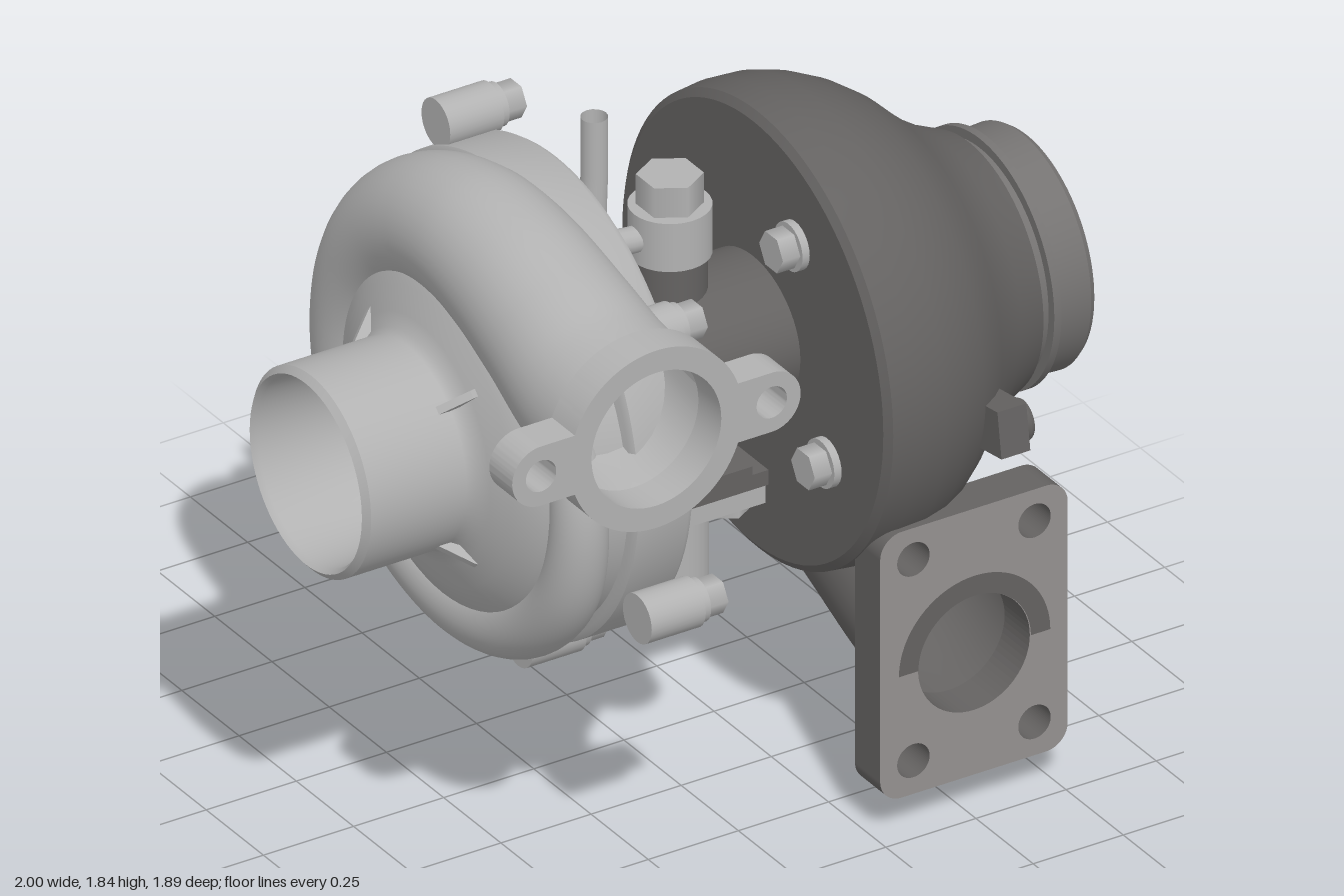
import * as THREE from 'three';
import { toCreasedNormals } from 'three/addons/utils/BufferGeometryUtils.js';

const AY = 1.13, AZ = 0.185; // shaft axis, running along x
const V2 = (a) => a.map(([x, r]) => new THREE.Vector2(r, x));

export function createModel() {
  const root = new THREE.Group();
  const mat = (name, color) => {
    const m = new THREE.MeshStandardMaterial({ color, side: THREE.DoubleSide });
    m.name = name;
    return m;
  };
  const alu = mat('light aluminium', 0xb2b2b2);
  const iron = mat('dark cast iron', 0x646261);
  const face = mat('machined iron', 0x959190);
  const lip = mat('turned iron', 0x757372);
  const steel = mat('wheel steel', 0x9c9c9c);

  const add = (name, geo, m, x = 0, y = 0, z = 0, parent = root) => {
    const mesh = new THREE.Mesh(geo, m);
    mesh.name = name;
    mesh.position.set(x, y, z);
    parent.add(mesh);
    return mesh;
  };
  // profile of [x, radius] turned around the x axis
  const turned = (profile, seg = 72) =>
    toCreasedNormals(new THREE.LatheGeometry(V2(profile), seg).rotateZ(-Math.PI / 2), 0.6);
  const cyl = (r, h, seg = 28) => new THREE.CylinderGeometry(r, r, h, seg);
  const cylX = (r, h, seg = 28) => cyl(r, h, seg).rotateZ(-Math.PI / 2);
  const hole = (x, y, r) => new THREE.Path().absarc(x, y, r, 0, Math.PI * 2, true);
  const extrude = (shape, depth) =>
    new THREE.ExtrudeGeometry(shape, { depth, bevelEnabled: false, curveSegments: 32 });

  // round sections of changing radius along a path; keys are [x, y, z, radius]
  const duct = (keys, n = 110, m = 36) => {
    const curve = new THREE.CatmullRomCurve3(keys.map((k) => new THREE.Vector3(k[0], k[1], k[2])));
    const pos = [], idx = [], side = new THREE.Vector3(1, 0, 0);
    for (let i = 0; i <= n; i++) {
      const t = i / n, p = curve.getPoint(t);
      const up = side.clone().cross(curve.getTangent(t)).normalize();
      const f = t * (keys.length - 1), k = Math.min(Math.floor(f), keys.length - 2);
      const r = THREE.MathUtils.lerp(keys[k][3], keys[k + 1][3], f - k);
      for (let j = 0; j <= m; j++) {
        const a = (j / m) * Math.PI * 2;
        const q = p.clone().addScaledVector(side, r * Math.cos(a)).addScaledVector(up, r * Math.sin(a));
        pos.push(q.x, q.y, q.z);
        if (i < n && j < m) {
          const o = i * (m + 1) + j, b = o + m + 1;
          idx.push(o, o + 1, b, o + 1, b + 1, b);
        }
      }
    }
    const g = new THREE.BufferGeometry();
    g.setAttribute('position', new THREE.Float32BufferAttribute(pos, 3));
    g.setIndex(idx);
    g.computeVertexNormals();
    return g;
  };

  // bladed wheel with a domed hub and a back disc
  const wheel = (name, x, dir, count, r) => {
    const g = new THREE.Group();
    g.name = name;
    g.position.set(x, AY, AZ);
    root.add(g);
    add('hub', new THREE.SphereGeometry(0.06, 24, 16), steel, dir * 0.05, 0, 0, g);
    add('hubShaft', cylX(0.06, 0.14), steel, -dir * 0.02, 0, 0, g);
    add('backDisc', cylX(r, 0.008, 40), steel, -dir * 0.05, 0, 0, g);
    for (let i = 0; i < count; i++) {
      const spoke = new THREE.Group();
      spoke.rotation.x = (i / count) * Math.PI * 2;
      g.add(spoke);
      add('blade', new THREE.BoxGeometry(0.1, r - 0.04, 0.008), steel, 0, (r + 0.04) / 2, 0, spoke).rotation.y = 0.35;
    }
  };

  // ---- compressor housing ----
  add('compressorInlet', turned([[-0.6, 0], [-0.62, 0.2], [-0.8, 0.225], [-0.985, 0.235], [-1, 0.245], [-0.985, 0.262],
    [-0.72, 0.262], [-0.7, 0.275], [-0.685, 0.31], [-0.66, 0.37], [-0.62, 0.44], [-0.54, 0.5], [-0.42, 0.53]]), alu, 0, AY, AZ);
  wheel('compressorWheel', -0.7, -1, 12, 0.2);
  const scroll = [];
  for (let a = 300; a >= 0; a -= 20) {
    const t = a * Math.PI / 180, k = a / 300, R = 0.488 - 0.04 * Math.max(0, k - 0.8) / 0.2;
    scroll.push([-0.515 - 0.03 * k, AY + R * Math.cos(t), AZ - R * Math.sin(t), 0.175 - 0.115 * k ** 0.8]);
  }
  scroll.push([-0.515, 1.595, 0.36, 0.185], [-0.515, 1.54, 0.53, 0.195], [-0.515, 1.475, 0.7, 0.208], [-0.515, 1.445, 0.86, 0.215]);
  add('compressorScroll', duct(scroll, 160), alu);
  add('compressorBackplate', turned([[-0.44, 0.3], [-0.44, 0.59], [-0.43, 0.605], [-0.29, 0.605], [-0.275, 0.595],
    [-0.275, 0.46], [-0.25, 0.45], [-0.25, 0.1]], 96), alu, 0, 1.145, 0.137);
  for (const a of [45, 135, 225, 315]) {
    const rib = new THREE.Shape([[-0.76, 0.255], [-0.64, 0.255], [-0.64, 0.36], [-0.685, 0.325]].map((p) => new THREE.Vector2(...p)));
    add('inletRib', extrude(rib, 0.02).translate(0, 0, -0.01), alu, 0, AY, AZ).rotation.x = a * Math.PI / 180;
  }

  // outlet flange with two ears
  const ear = new THREE.Shape();
  const q = Math.asin(0.08 / 0.24);
  ear.absarc(0.32, 0, 0.08, -Math.PI / 2, Math.PI / 2);
  ear.absarc(0, 0, 0.24, q, Math.PI - q);
  ear.absarc(-0.32, 0, 0.08, Math.PI / 2, Math.PI * 1.5);
  ear.absarc(0, 0, 0.24, Math.PI + q, Math.PI * 2 - q);
  ear.holes.push(hole(0, 0, 0.18), hole(0.32, 0, 0.042), hole(-0.32, 0, 0.042));
  add('compressorOutletFlange', toCreasedNormals(extrude(ear, 0.1), 0.6), alu, -0.51, 1.445, 0.845);

  // housing lugs and their bolts: [y, z]
  for (const [y, z] of [[1.73, -0.16], [0.8, -0.39], [0.82, 0.72], [1.52, 0.63], [0.5, 0.2]]) {
    add('housingLug', cylX(0.063, 0.15), alu, -0.345, y, z);
    add('lugWasher', cylX(0.055, 0.02), alu, -0.26, y, z);
    add('lugBolt', cylX(0.048, 0.055, 6), alu, -0.225, y, z);
  }

  // ---- centre housing ----
  add('centreHousing', cylX(0.2, 0.5, 48).scale(1, 0.9, 1.04), iron, 0.02, 1.155, 0.185);
  add('centreRing', turned([[-0.25, 0.1], [-0.25, 0.285], [-0.19, 0.285], [-0.18, 0.27], [-0.18, 0.1]]), iron, 0, AY, AZ);
  add('oilBoss', cyl(0.09, 0.14), iron, 0.01, 1.35, AZ);
  add('oilFitting', cyl(0.1, 0.13), alu, 0.01, 1.485, AZ);
  add('oilFittingBolt', cyl(0.08, 0.08, 6), alu, 0.01, 1.59, AZ);
  add('plug', cyl(0.03, 0.05, 12), iron, 0.01, 0.96, AZ);
  const pipe = new THREE.CatmullRomCurve3([[-0.05, 1.48], [-0.12, 1.485], [-0.18, 1.5], [-0.2, 1.56], [-0.2, 1.7], [-0.2, 1.85]]
    .map(([x, y]) => new THREE.Vector3(x, y, AZ)));
  add('oilPipe', new THREE.TubeGeometry(pipe, 40, 0.033, 16), alu);

  // oil drain below
  add('drainGasket', new THREE.BoxGeometry(0.3, 0.03, 0.22), iron, 0.02, 0.825, AZ);
  add('drainFlange', new THREE.BoxGeometry(0.42, 0.04, 0.2), iron, 0.01, 0.79, AZ);
  add('drainPlate', new THREE.BoxGeometry(0.41, 0.05, 0.19), alu, 0.01, 0.745, AZ);
  add('drainTube', new THREE.CylinderGeometry(0.088, 0.088, 0.24, 28, 1, true), alu, 0.015, 0.605, AZ);
  for (const x of [-0.15, 0.17]) add('drainBolt', cyl(0.05, 0.06, 6), alu, x, 0.7, AZ);

  // ---- turbine housing ----
  add('turbineHousing', turned([[0.24, 0], [0.24, 0.57], [0.255, 0.59], [0.32, 0.597], [0.4, 0.592], [0.47, 0.572], [0.54, 0.538],
    [0.6, 0.495], [0.65, 0.445], [0.7, 0.4], [0.76, 0.36], [0.84, 0.325], [0.84, 0.29]], 96), iron, 0, AY, AZ);
  add('turbineOutlet', turned([[0.83, 0.3], [0.87, 0.3], [0.87, 0.325], [0.89, 0.325], [0.89, 0.3], [0.985, 0.305],
    [1, 0.295], [0.985, 0.265], [0.96, 0.257]], 96), lip, 0, AY, AZ);
  add('turbineBore', turned([[0.96, 0.257], [0.86, 0.25], [0.76, 0.195], [0.68, 0.185], [0.64, 0]], 96), iron, 0, AY, AZ);
  wheel('turbineWheel', 0.71, 1, 11, 0.18);
  add('turbineDuct', duct([[0.515, 0.435, 0.65, 0.195], [0.51, 0.475, 0.53, 0.2], [0.5, 0.57, 0.37, 0.205], [0.49, 0.68, 0.2, 0.215],
    [0.48, 0.745, 0.03, 0.225], [0.47, 0.84, -0.09, 0.21], [0.45, 0.97, -0.17, 0.18], [0.43, 1.13, -0.21, 0.15],
    [0.42, 1.35, -0.15, 0.11], [0.41, 1.5, 0.02, 0.08]]), iron);

  // square inlet flange with four bolt holes
  const [fw, fh, fr] = [0.26, 0.36, 0.06];
  const plate = new THREE.Shape();
  plate.absarc(fw - fr, fh - fr, fr, 0, Math.PI / 2);
  plate.absarc(-fw + fr, fh - fr, fr, Math.PI / 2, Math.PI);
  plate.absarc(-fw + fr, -fh + fr, fr, Math.PI, Math.PI * 1.5);
  plate.absarc(fw - fr, -fh + fr, fr, Math.PI * 1.5, Math.PI * 2);
  plate.holes.push(hole(0, -0.03, 0.155));
  for (const x of [-0.168, 0.168]) for (const y of [-0.27, 0.275]) plate.holes.push(hole(x, y, 0.045));
  add('turbineInletFlange', extrude(plate, 0.11), [face, iron], 0.52, 0.46, 0.6);
  add('flangeGroove', new THREE.RingGeometry(0.156, 0.21, 40, 1, 0, Math.PI), iron, 0.52, 0.43, 0.713);

  // drilled boss on the front of the turbine
  add('sensorBoss', new THREE.BoxGeometry(0.08, 0.12, 0.12), iron, 0.59, 1.03, 0.715).rotation.x = -0.15;
  add('sensorCollar', turned([[0.56, 0], [0.64, 0.055], [0.65, 0.05], [0.65, 0.035], [0.632, 0.03], [0.632, 0]], 28), iron, 0, 1.03, 0.722);

  // bolts on the inner face of the turbine
  for (const a of [30, 120, 210, 255, 300]) {
    const t = a * Math.PI / 180, y = AY + 0.38 * Math.cos(t), z = AZ + 0.38 * Math.sin(t);
    add('turbineWasher', cylX(0.062, 0.02), alu, 0.228, y, z);
    add('turbineBolt', cylX(0.052, 0.05, 6), alu, 0.195, y, z);
  }

  // ---- wastegate actuator: local +y points down and back ----
  const act = new THREE.Group();
  act.name = 'actuator';
  act.position.set(0.143, 0.5675, -0.3825);
  act.rotation.x = -Math.PI * 0.75;
  root.add(act);
  const can = V2([[0.02, 0], [0.02, 0.17], [0.04, 0.225], [0.09, 0.265], [0.14, 0.278], [0.14, 0.298], [0.175, 0.298],
    [0.175, 0.278], [0.3, 0.275], [0.335, 0.25], [0.345, 0]]);
  add('canister', toCreasedNormals(new THREE.LatheGeometry(can, 64), 0.6), alu, 0, 0, 0, act);
  const half = Math.PI / 2 + Math.asin(0.083 / 0.333);
  add('heatShield', new THREE.CylinderGeometry(0.333, 0.333, 0.46, 64, 1, true, Math.PI / 2 - half, half * 2), alu, 0, 0.23, 0, act);
  add('shieldEnd', new THREE.ShapeGeometry(new THREE.Shape().absarc(0, 0, 0.333, -half, half), 48).rotateX(-Math.PI / 2), alu, 0, 0.46, 0, act);
  add('nipple', cylX(0.022, 0.09, 16), alu, -0.27, 0.29, 0.05, act);
  add('mountPlate', new THREE.BoxGeometry(0.24, 0.02, 0.26), alu, -0.02, 0.01, 0, act);
  add('bracketArm', new THREE.BoxGeometry(0.02, 0.16, 0.12), alu, 0.08, -0.07, 0, act);
  add('bracketFoot', new THREE.BoxGeometry(0.13, 0.1, 0.21), iron, 0.145, -0.145, 0.04, act);
  for (const z of [-0.07, 0.07]) add('mountNut', cyl(0.038, 0.04, 6), alu, -0.1, -0.02, z, act);
  add('rod', cyl(0.018, 0.4, 16), alu, 0, -0.19, 0, act);
  for (const t of [-0.12, -0.2, -0.27]) add('rodNut', cyl(0.036, 0.035, 6), alu, 0, t, 0, act);
  add('rodEnd', cylX(0.042, 0.05, 20), alu, 0, -0.39, 0, act);
  add('crankArm', new THREE.BoxGeometry(0.025, 0.08, 0.17), iron, 0.04, -0.39, 0.05, act);
  add('crankShaft', cylX(0.035, 0.12, 20), iron, 0.07, -0.39, 0.11, act);

  return root;
}
